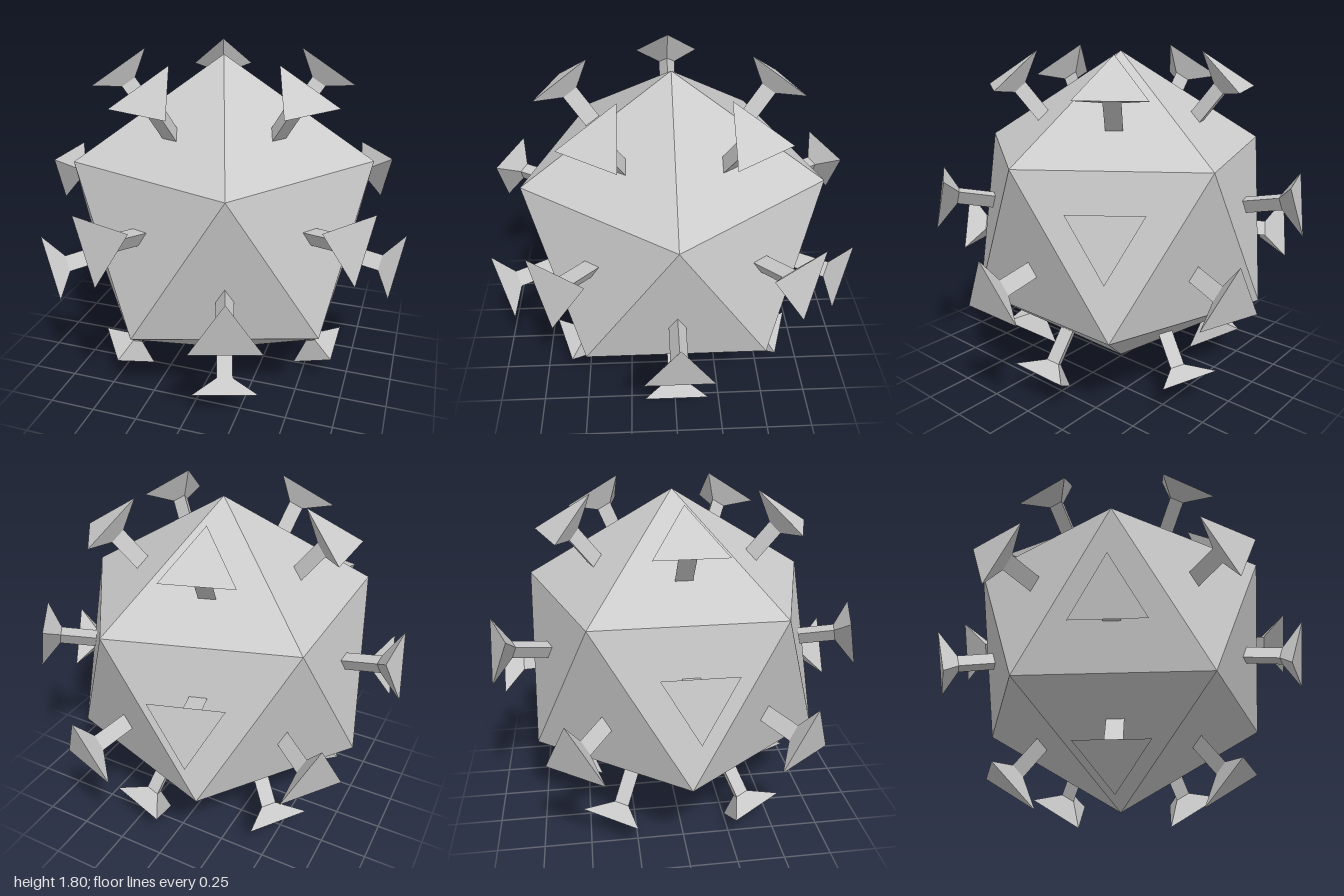
import * as THREE from 'three';

const CENTER_Y = 0.9;
const RADIUS = 0.89;
const STEM_START = 0.68, CAP_START = 0.893, CAP_END = 0.98;
const STEM_R = 0.05, CAP_R = 0.2;

// The 20 triangles of an icosahedron standing on one corner
function icosahedronFaces(r) {
  const ringY = r / Math.sqrt(5), ringR = 2 * ringY;
  const ring = (k, y, offset) => {
    const a = (k + offset) * Math.PI * 2 / 5;
    return new THREE.Vector3(ringR * Math.cos(a), y, ringR * Math.sin(a));
  };
  const top = new THREE.Vector3(0, r, 0), bottom = new THREE.Vector3(0, -r, 0);
  const upper = k => ring(k, ringY, 0);
  const lower = k => ring(k, -ringY, 0.5);
  const faces = [];
  for (let k = 0; k < 5; k++) {
    faces.push(
      [top, upper(k + 1), upper(k)],
      [upper(k), upper(k + 1), lower(k)],
      [lower(k), lower(k - 1), upper(k)],
      [bottom, lower(k), lower(k + 1)]
    );
  }
  return faces;
}

// Three-sided prism or frustum between two distances along +y
function triangularPart(name, rTop, rBottom, from, to, material) {
  const geometry = new THREE.CylinderGeometry(rTop, rBottom, to - from, 3);
  geometry.translate(0, (from + to) / 2, 0);
  const mesh = new THREE.Mesh(geometry, material);
  mesh.name = name;
  return mesh;
}

export function createModel() {
  const model = new THREE.Group();
  model.name = 'spikedIcosahedron';
  const material = new THREE.MeshStandardMaterial({ color: 0xcccccc, flatShading: true });
  const faces = icosahedronFaces(RADIUS);

  // Faceted core
  const coreGeometry = new THREE.BufferGeometry().setFromPoints(faces.flat());
  coreGeometry.computeVertexNormals();
  const core = new THREE.Mesh(coreGeometry, material);
  core.name = 'core';
  core.position.y = CENTER_Y;
  model.add(core);

  // One spike per face: stem and flared cap, corners aligned with the face
  for (const [a, b, c] of faces) {
    const middle = a.clone().add(b).add(c).divideScalar(3);
    const yAxis = middle.clone().normalize();
    const zAxis = a.clone().sub(middle).normalize();
    const xAxis = yAxis.clone().cross(zAxis);

    const spike = new THREE.Group();
    spike.name = 'spike';
    spike.add(
      triangularPart('spikeStem', STEM_R, STEM_R, STEM_START, CAP_START, material),
      triangularPart('spikeCap', CAP_R, STEM_R, CAP_START, CAP_END, material)
    );
    spike.quaternion.setFromRotationMatrix(new THREE.Matrix4().makeBasis(xAxis, yAxis, zAxis));
    spike.position.y = CENTER_Y;
    model.add(spike);
  }
  return model;
}
